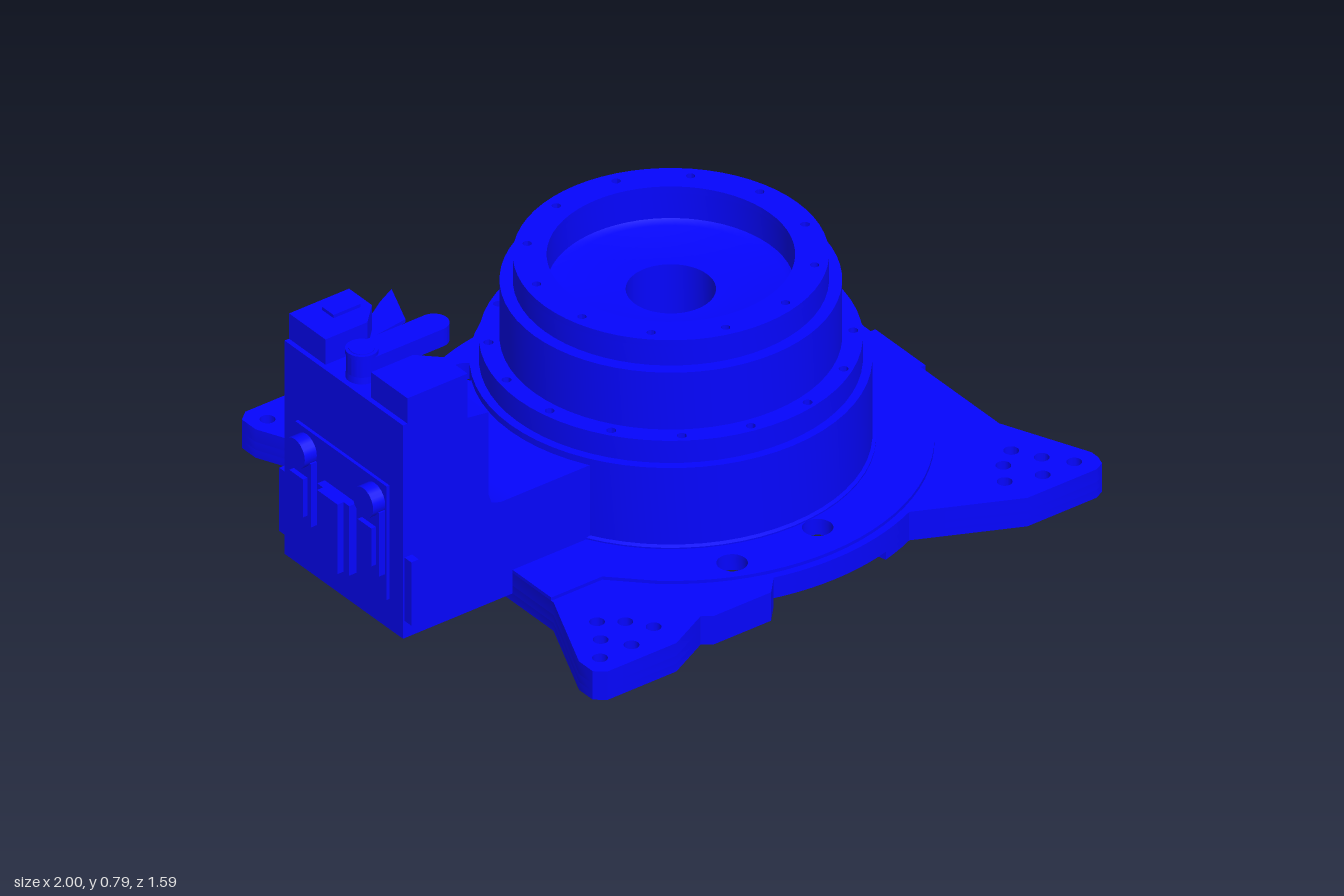
import * as THREE from 'three';
import { toCreasedNormals } from 'three/addons/utils/BufferGeometryUtils.js';

const CX = 0.145; // turret axis
const blue = new THREE.MeshStandardMaterial({ color: 0x0505ff });

export function createModel() {
  const model = new THREE.Group();

  const add = (name, geo, x = 0, y = 0, z = 0) => {
    const mesh = new THREE.Mesh(geo, blue);
    mesh.name = name;
    mesh.position.set(x, y, z);
    model.add(mesh);
    return mesh;
  };
  const box = (name, x0, x1, y0, y1, z0, z1) =>
    add(name, new THREE.BoxGeometry(x1 - x0, y1 - y0, z1 - z0), (x0 + x1) / 2, (y0 + y1) / 2, (z0 + z1) / 2);
  const poly = (pts) => new THREE.Shape(pts.map(([x, z]) => new THREE.Vector2(x, z)));
  const disc = (x, z, r) => new THREE.Shape().absarc(x, z, r, 0, Math.PI * 2);
  // horizontal slab from a plan outline given as (x, z)
  const slab = (name, shape, y0, y1, holes = [], segs = 12) => {
    shape.holes.push(...holes);
    const g = new THREE.ExtrudeGeometry(shape, { depth: y1 - y0, bevelEnabled: false, curveSegments: segs });
    g.rotateX(Math.PI / 2);
    return add(name, toCreasedNormals(g, 0.5), 0, y1, 0);
  };
  const arc = (r, a0, a1, n) => Array.from({ length: n + 1 }, (_, i) => {
    const a = (a0 + ((a1 - a0) * i) / n) * Math.PI / 180;
    return [CX + r * Math.cos(a), r * Math.sin(a)];
  });
  // move a counter-clockwise outline inward
  const inset = (pts, d) => pts.map((p, i) => {
    const normal = (a, b) => {
      const l = Math.hypot(b[0] - a[0], b[1] - a[1]);
      return [-(b[1] - a[1]) / l, (b[0] - a[0]) / l];
    };
    const n = normal(pts.at(i - 1), p), m = normal(p, pts[(i + 1) % pts.length]);
    const k = d / (1 + n[0] * m[0] + n[1] * m[1]);
    return [p[0] + k * (n[0] + m[0]), p[1] + k * (n[1] + m[1])];
  });
  const ringOfHoles = (r, count, size, offset) => Array.from({ length: count }, (_, i) => {
    const a = ((i + offset) / count) * Math.PI * 2;
    return disc(CX + r * Math.cos(a), r * Math.sin(a), size);
  });

  // Base plate outline, in four runs so the underside can be notched
  const back = arc(0.727, -114, -66, 16);
  const rightRun = [[0.73, -0.795], [0.96, -0.795], [0.99, -0.78], [1, -0.75], [1, -0.72], [0.89, -0.46],
    [0.89, 0.46], [1, 0.72], [1, 0.75], [0.99, 0.78], [0.96, 0.795], [0.73, 0.795]];
  const front = arc(0.722, 66, 105, 13);
  const leftRun = [[-0.09, 0.75], [-0.28, 0.75], [-0.31, 0.73], [-0.44, 0.795], [-0.67, 0.795], [-0.7, 0.77],
    [-0.7, 0.71], [-0.58, 0.44], [-0.58, -0.44], [-0.7, -0.71], [-0.7, -0.77], [-0.67, -0.795], [-0.44, -0.795]];
  const outline = [...back, ...rightRun, ...front, ...leftRun];

  const portHoles = () => [-0.095, 0.19].flatMap((x) => [-0.585, 0.585].map((z) => disc(x, z, 0.042)));
  const cornerHoles = [[0.79, 0.73], [0.685, 0.73], [0.585, 0.695], [0.735, 0.66], [0.63, 0.63], [0.69, 0.585]]
    .flatMap(([x, z]) => [[1, 1], [1, -1], [-1, 1], [-1, -1]].map(([sx, sz]) => disc(CX + sx * x, sz * z, 0.021)));
  slab('basePlate', poly(outline), 0.05, 0.09, [disc(CX, 0, 0.505), ...portHoles(), ...cornerHoles]);
  slab('baseRim', poly(outline), 0.025, 0.05, [poly(inset(outline, 0.03))]);
  slab('undersideRing', disc(CX, 0, 0.705), 0.025, 0.05, [disc(CX, 0, 0.685)], 32);

  // Foot strips under the left and right of the rim
  const strip = (name, run) => {
    const inner = inset(outline, 0.03);
    slab(name, poly([...run, ...run.map((p) => inner[outline.indexOf(p)]).reverse()]), 0, 0.025);
  };
  strip('rightFootRim', [...back.slice(13), ...rightRun, ...front.slice(0, 4)]);
  strip('leftFootRim', [front[13], ...leftRun, ...back.slice(0, 4)]);
  box('edgeTab', 0.88, 0.91, 0, 0.085, -0.11, 0.11);

  // Raised round deck with a pad toward the tower
  const deck = [...arc(0.7, -130, 130, 64), [-0.41, 0.43], [-0.58, 0.43], [-0.58, -0.43], [-0.41, -0.43]];
  slab('raisedDeck', poly(deck), 0.09, 0.1, [disc(CX, 0, 0.505), ...portHoles()]);

  // Underside ribs
  for (let i = 0; i < 8; i++) {
    const a = (i / 8) * Math.PI * 2;
    const rib = add('undersideRib', new THREE.BoxGeometry(0.24, 0.045, 0.02),
      CX + 0.57 * Math.cos(a), 0.04, 0.57 * Math.sin(a));
    rib.rotation.y = -a;
  }

  // Stepped turret, built from closed turned sections
  const turned = (name, pts) => {
    const g = new THREE.LatheGeometry([...pts, pts[0]].map(([r, y]) => new THREE.Vector2(r, y)), 64);
    add(name, toCreasedNormals(g, 0.6), CX, 0, 0);
  };
  turned('turretFoot', [[0.505, 0.05], [0.545, 0.09], [0.545, 0.104], [0.535, 0.108], [0.535, 0.35], [0.505, 0.35]]);
  slab('boltFlange', disc(CX, 0, 0.51), 0.35, 0.42, [disc(CX, 0, 0.44), ...ringOfHoles(0.485, 16, 0.013, 0.5)], 32);
  turned('turretUpper', [[0.455, 0.35], [0.455, 0.6], [0.42, 0.6], [0.42, 0.66], [0.33, 0.66], [0.33, 0.58],
    [0.31, 0.57], [0.12, 0.57], [0.12, 0.2], [0.14, 0.2], [0.14, 0.53], [0.42, 0.53], [0.42, 0.35]]);
  turned('innerHousing', [[0.47, 0.05], [0.47, 0.35], [0.42, 0.35], [0.42, 0.3], [0.14, 0.3], [0.14, 0.27],
    [0.455, 0.27], [0.455, 0.05]]);
  slab('topRing', disc(CX, 0, 0.42), 0.66, 0.68, [disc(CX, 0, 0.33), ...ringOfHoles(0.385, 12, 0.012, 0.5)], 32);

  // Tower, filleted into an arm whose end follows the turret wall
  const side = [[-0.945, 0.025], [-0.57, 0.025], [-0.57, 0.33], [-0.62, 0.33], [-0.65, 0.34], [-0.66, 0.37],
    [-0.66, 0.63], [-0.73, 0.64], [-0.73, 0.7], [-0.945, 0.7]];
  const tower = new THREE.ExtrudeGeometry(poly(side), { depth: 0.52, bevelEnabled: false });
  add('tower', toCreasedNormals(tower, 0.6), 0, 0, -0.26);
  slab('towerArm', poly([[-0.57, -0.26], ...arc(0.52, 210, 150, 16), [-0.57, 0.26]]), 0.09, 0.33);

  // Chamfered blocks on top of the tower
  for (const s of [1, -1]) {
    const pts = [[-0.93, 0.1], [-0.79, 0.1], [-0.73, 0.16], [-0.73, 0.26], [-0.93, 0.26]].map(([x, z]) => [x, s * z]);
    slab('towerTopBlock', poly(s > 0 ? pts : pts.reverse()), 0.69, 0.78);
    box('mountingFlange', -0.94, -0.915, 0.08, 0.28, s > 0 ? 0.25 : -0.29, s > 0 ? 0.29 : -0.25);
  }
  box('blockCap', -0.85, -0.76, 0.78, 0.79, -0.22, -0.17);

  // Lever on its post, and the thin pointer plate
  add('leverPost', new THREE.CylinderGeometry(0.035, 0.045, 0.1, 24), -0.885, 0.74, 0);
  add('leverCap', new THREE.CylinderGeometry(0.045, 0.045, 0.012, 24), -0.885, 0.782, 0);
  const lever = new THREE.Shape().absarc(-0.885, 0, 0.042, Math.PI / 2, Math.PI * 1.5)
    .absarc(-0.645, 0, 0.042, -Math.PI / 2, Math.PI / 2);
  slab('lever', lever, 0.72, 0.775);
  slab('pointerPlate', poly([[-0.73, -0.25], [-0.69, -0.25], [-0.58, -0.32], [-0.52, -0.35], [-0.58, -0.21],
    [-0.73, -0.19]]), 0.64, 0.65);
  box('pointerBracket', -0.74, -0.66, 0.59, 0.645, -0.25, -0.19);

  // Connectors on the outer face of the tower
  box('connectorPlate', -0.955, -0.94, 0.12, 0.48, -0.2, 0.2);
  box('centreConnector', -0.98, -0.95, 0.14, 0.36, -0.07, 0.07);
  box('centreSocket', -1, -0.975, 0.14, 0.36, -0.045, 0.045);
  for (const z of [-0.15, 0.15]) {
    box('sideConnector', -0.975, -0.95, 0.2, 0.4, z - 0.045, z + 0.045);
    const plug = add('roundPlug', new THREE.CylinderGeometry(0.045, 0.045, 0.05, 20), -0.97, 0.42, z);
    plug.rotation.z = Math.PI / 2;
    box('sideSocket', -0.99, -0.97, 0.23, 0.35, z - 0.03, z + 0.03);
  }
  return model;
}
